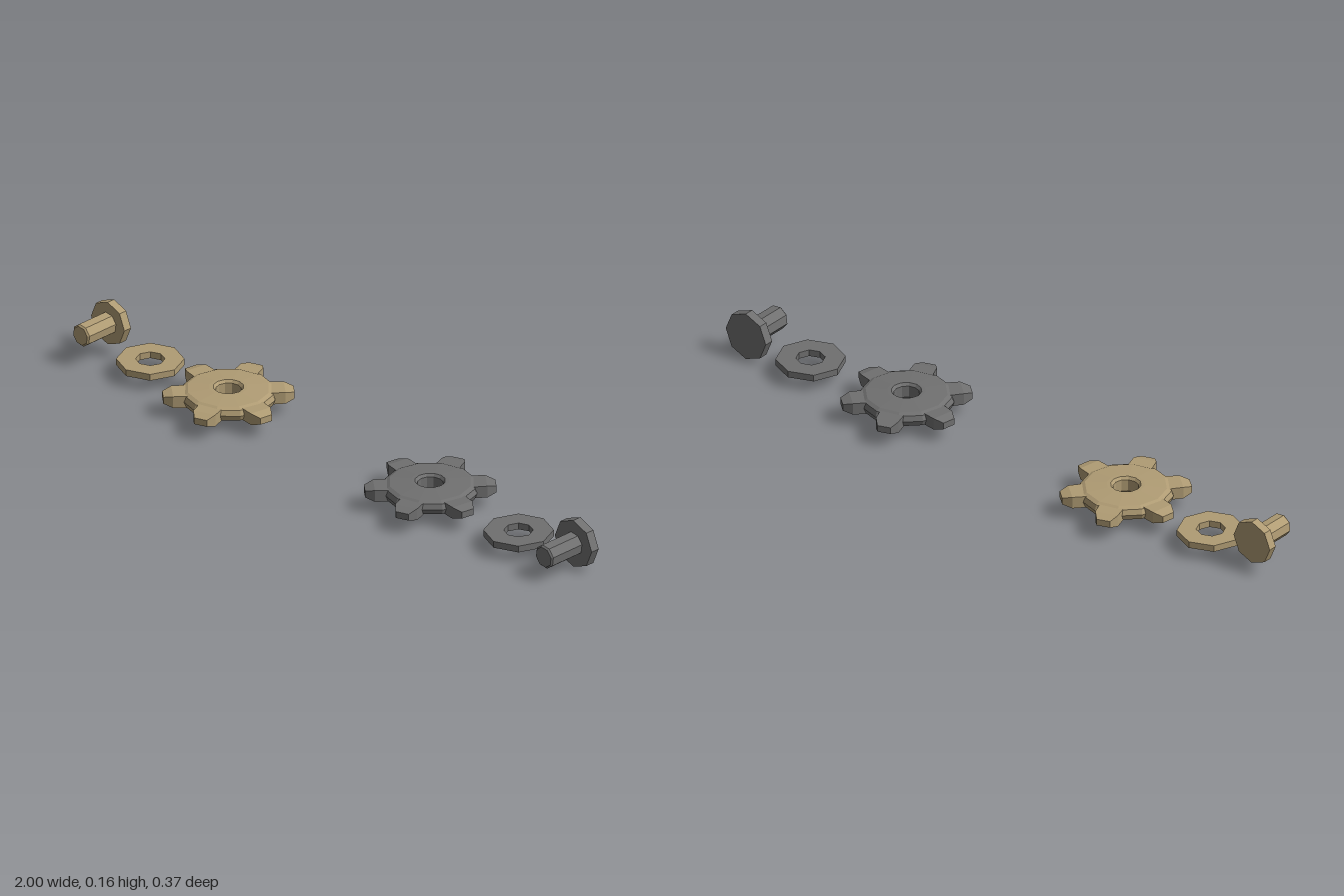
import * as THREE from 'three';

const rad = THREE.MathUtils.degToRad;

function mesh(name, geometry, material) {
  const m = new THREE.Mesh(geometry, material);
  m.name = name;
  return m;
}

// Closed ring profile [radius, y], listed counter-clockwise
function ring(points, sides) {
  const profile = [...points, points[0]].map(([r, y]) => new THREE.Vector2(r, y));
  return new THREE.LatheGeometry(profile, sides);
}

// Tooth pointing along +x, straight then narrowing to its tip
function toothGeometry() {
  const stations = [[0.115, 0.036, 0.018], [0.16, 0.034, 0.018], [0.187, 0.02, 0.01]];
  const g = new THREE.BoxGeometry(2, 2, 2, 2, 1, 1);
  const p = g.attributes.position;
  for (let i = 0; i < p.count; i++) {
    const [r, halfWidth, halfHeight] = stations[Math.round(p.getX(i)) + 1];
    p.setXYZ(i, r, p.getY(i) * halfHeight, p.getZ(i) * halfWidth);
  }
  return g;
}

// Slightly domed wheel with a central bore and six teeth
function makeGear(material) {
  const gear = new THREE.Group();
  gear.name = 'gear';
  gear.add(mesh('gearDisc', ring([
    [0.037, -0.018], [0.044, -0.027], [0.055, -0.027], [0.118, -0.022], [0.131, -0.016],
    [0.137, 0], [0.131, 0.016], [0.118, 0.022], [0.055, 0.026], [0.044, 0.026], [0.037, 0.018],
  ], 12), material));
  const tooth = toothGeometry();
  for (let i = 0; i < 6; i++) {
    const t = mesh('gearTooth', tooth, material);
    t.rotation.y = rad(-10 + i * 60);
    gear.add(t);
  }
  return gear;
}

// Flat octagonal washer
function makeWasher(material, radius) {
  return mesh('washer', ring([
    [0.042, -0.01], [radius, -0.01], [radius, 0.01], [0.042, 0.01],
  ], 8), material);
}

// Bolt lying along z, with its head at the back
function makeBolt(material, headRadius, shaftRadius, headBack, headFront, shaftEnd) {
  const bolt = new THREE.Group();
  bolt.name = 'bolt';
  const rod = (name, rTip, r, z0, z1, turn) => {
    const g = new THREE.CylinderGeometry(rTip, r, z1 - z0, 8);
    g.rotateY(turn).rotateX(Math.PI / 2).translate(0, 0, (z0 + z1) / 2);
    bolt.add(mesh(name, g, material));
  };
  const bevel = 0.005;
  rod('boltHead', headRadius, headRadius, headBack, headFront, 0);
  rod('boltShaft', shaftRadius, shaftRadius, headFront, shaftEnd - bevel, rad(15));
  rod('boltTip', shaftRadius - bevel, shaftRadius, shaftEnd - bevel, shaftEnd, rad(15));
  return bolt;
}

export function createModel() {
  const model = new THREE.Group();
  model.name = 'gearAndFastenerSets';
  const brass = new THREE.MeshStandardMaterial({ color: 0xb09c74, flatShading: true });
  const steel = new THREE.MeshStandardMaterial({ color: 0x707070, flatShading: true });

  const place = (part, x, y) => {
    part.position.set(x, y, 0);
    model.add(part);
  };

  // Brass set on the right-hand side
  place(makeBolt(brass, 0.067, 0.034, -0.038, -0.012, 0.098), -0.933, 0.097);
  place(makeWasher(brass, 0.097), -0.75, 0.046);
  place(makeGear(brass), -0.436, 0.057);

  // Steel set on the left-hand side
  place(makeGear(steel), 0.375, 0.057);
  place(makeWasher(steel, 0.1), 0.73, 0.046);
  place(makeBolt(steel, 0.074, 0.036, -0.053, -0.025, 0.094), 0.925, 0.075);

  return model;
}
